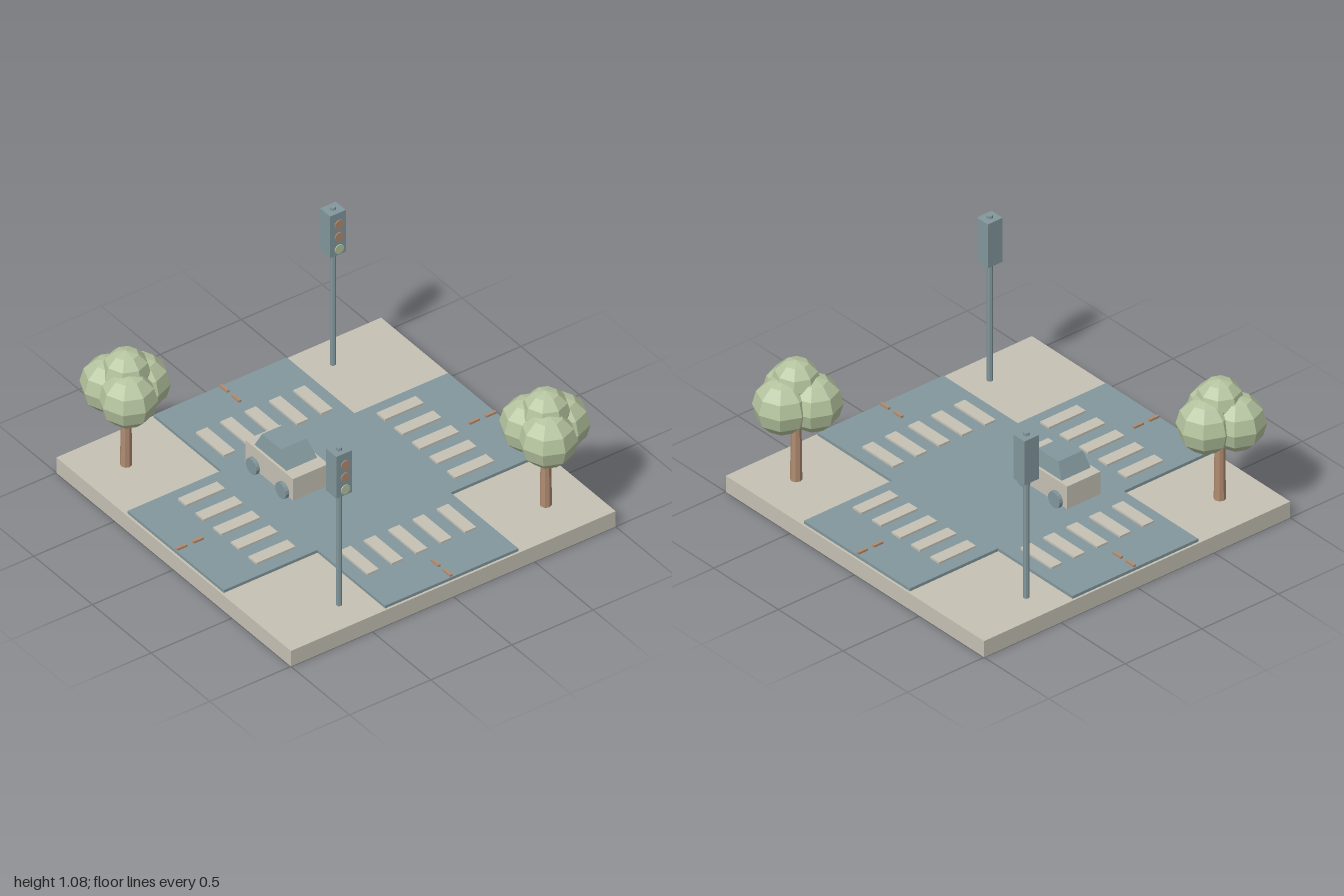
import * as THREE from 'three';

const mat = (name, color) => {
  const m = new THREE.MeshStandardMaterial({ color, flatShading: true });
  m.name = name;
  return m;
};

export function createModel() {
  const stone = mat('pale stone', 0xc5c1b4);
  const slate = mat('slate blue', 0x82979c);
  const brown = mat('warm brown', 0xb08b71);
  const leaf = mat('leaf green', 0xb5c49f);

  const root = new THREE.Group();
  root.name = 'crossroads';

  const add = (parent, name, geometry, material, x, y, z) => {
    const mesh = new THREE.Mesh(geometry, material);
    mesh.name = name;
    mesh.position.set(x, y, z);
    parent.add(mesh);
    return mesh;
  };
  const group = (name, x, y, z) => {
    const g = new THREE.Group();
    g.name = name;
    g.position.set(x, y, z);
    root.add(g);
    return g;
  };
  const box = (w, h, d) => new THREE.BoxGeometry(w, h, d);

  // Ground slab
  const ground = 0.096;
  add(root, 'ground', box(2, ground, 2), stone, 0, ground / 2, 0);

  // Cross-shaped road
  const a = 0.41, b = 0.987;
  const cross = new THREE.Shape([
    [-a, -b], [a, -b], [a, -a], [b, -a], [b, a], [a, a],
    [a, b], [-a, b], [-a, a], [-b, a], [-b, -a], [-a, -a],
  ].map(([x, y]) => new THREE.Vector2(x, y)));
  const roadGeo = new THREE.ExtrudeGeometry(cross, { depth: 0.017, bevelEnabled: false });
  roadGeo.rotateX(-Math.PI / 2);
  add(root, 'road', roadGeo, slate, 0, ground, 0);

  // Crossing stripes and centre dashes on each of the four arms
  const stripeGeo = box(0.07, 0.012, 0.24);
  const dashGeo = box(0.016, 0.012, 0.062);
  for (let i = 0; i < 4; i++) {
    const arm = group('roadMarkings', 0, 0.12, 0);
    arm.rotation.y = i * Math.PI / 2;
    for (let k = -2; k <= 2; k++) add(arm, 'crossingStripe', stripeGeo, stone, k * 0.15, 0, 0.612);
    for (const z of [0.85, 0.951]) add(arm, 'centreDash', dashGeo, brown, 0, 0, z);
  }

  // Traffic lights
  const poleGeo = new THREE.CylinderGeometry(0.016, 0.016, 0.98, 8);
  const lampGeo = new THREE.CylinderGeometry(0.028, 0.028, 0.005, 12);
  lampGeo.rotateX(Math.PI / 2);
  for (const s of [-1, 1]) {
    const light = group('trafficLight', s * 0.577, 0, -s * 0.825);
    add(light, 'pole', poleGeo, slate, 0, ground + 0.49, 0);
    add(light, 'lightHousing', box(0.096, 0.26, 0.086), slate, 0, 0.93, 0);
    [0.845, 0.921, 0.997].forEach((y, i) =>
      add(light, 'lamp', lampGeo, i ? brown : leaf, 0, y, 0.055));
  }

  // Trees: three lobes around the trunk and one on top
  const trunkGeo = new THREE.CylinderGeometry(0.026, 0.031, 0.4, 8);
  const lobeGeo = new THREE.SphereGeometry(0.153, 8, 6);
  const crownGeo = new THREE.SphereGeometry(0.127, 8, 6);
  for (const s of [-1, 1]) {
    const tree = group('tree', s * 0.751, 0, s * 0.75);
    add(tree, 'trunk', trunkGeo, brown, 0, ground + 0.2, 0);
    for (let i = 0; i < 3; i++) {
      const t = i * Math.PI * 2 / 3;
      add(tree, 'foliageLobe', lobeGeo, leaf, 0.09 * Math.cos(t), 0.572, 0.09 * Math.sin(t));
    }
    add(tree, 'foliageCrown', crownGeo, leaf, 0, 0.676, 0);
  }

  // Car
  const car = group('car', -0.175, 0, -0.177);
  add(car, 'carBody', box(0.218, 0.133, 0.406), stone, 0, 0.2, 0);

  // Cabin narrows towards the roof
  const cabinGeo = box(0.19, 0.086, 0.272);
  const p = cabinGeo.attributes.position;
  for (let i = 0; i < p.count; i++) {
    if (p.getY(i) > 0) {
      p.setX(i, p.getX(i) * 0.84);
      p.setZ(i, p.getZ(i) * 0.59 - 0.012);
    }
  }
  cabinGeo.computeVertexNormals();
  add(car, 'cabin', cabinGeo, slate, 0, 0.31, -0.008);

  const wheelGeo = new THREE.CylinderGeometry(0.046, 0.046, 0.04, 14);
  wheelGeo.rotateZ(Math.PI / 2);
  for (const sx of [-1, 1])
    for (const z of [-0.124, 0.126]) add(car, 'wheel', wheelGeo, slate, sx * 0.11, 0.158, z);

  return root;
}
